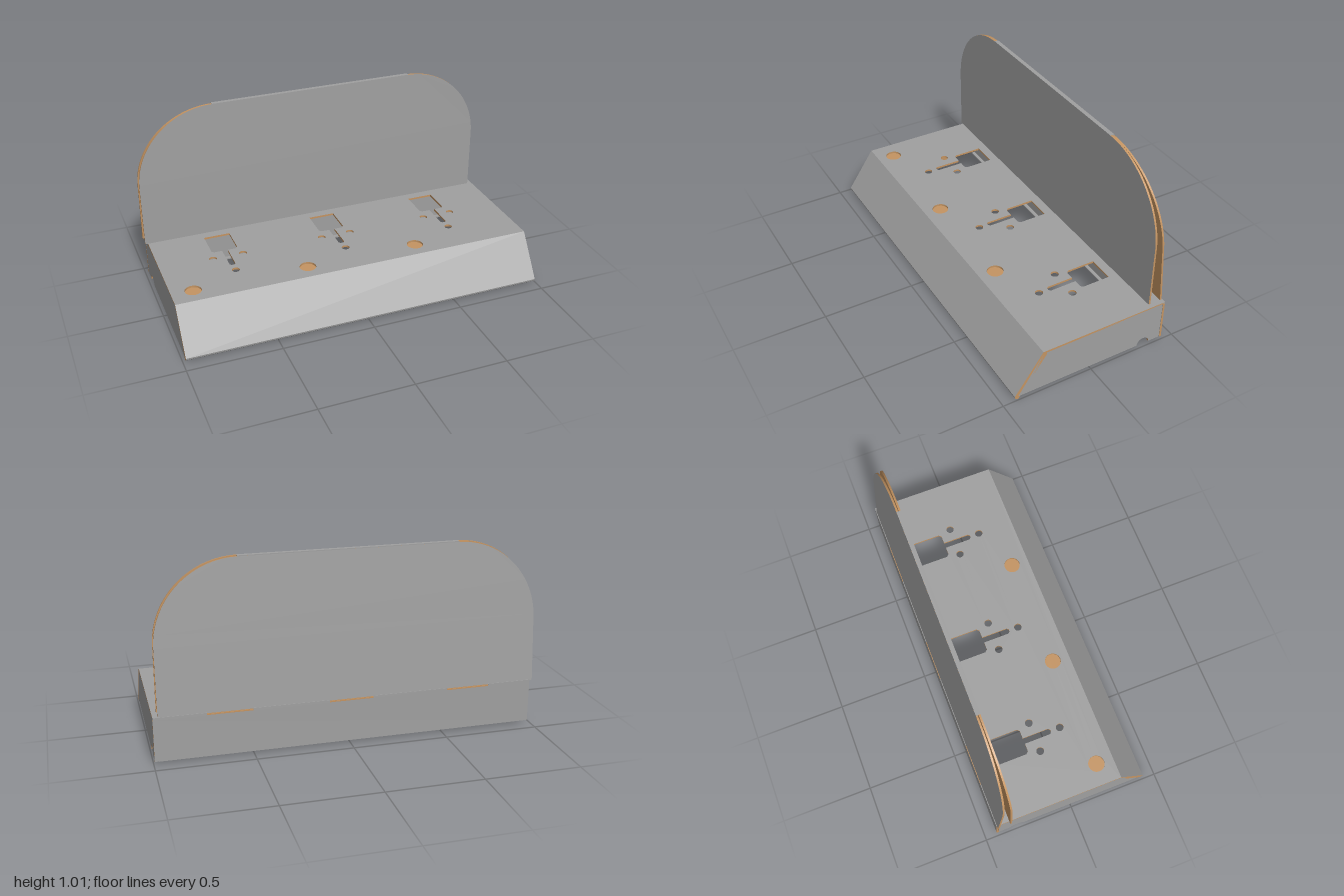
import * as THREE from 'three';

const board = new THREE.MeshStandardMaterial({ color: 0xa0a0a0 });
board.name = 'grey board';
const kraft = new THREE.MeshStandardMaterial({ color: 0xc49462 });
kraft.name = 'brown kraft';

const L = -0.985, R = 0.995;              // box ends
const UNITS = [-0.613, 0.005, 0.625];     // centres of the three cutouts

// Sheet of board with its own material on the back cap, front cap and cut edge
function sheet(name, shape, depth, back, front, edge = kraft) {
  const g = new THREE.ExtrudeGeometry(shape, { depth, bevelEnabled: false, curveSegments: 20 });
  const [caps, sides] = g.groups;
  const half = caps.count / 2;
  g.clearGroups();
  g.addGroup(caps.start, half, 0);
  g.addGroup(caps.start + half, half, 1);
  g.addGroup(sides.start, sides.count, 2);
  const m = new THREE.Mesh(g, [back, front, edge]);
  m.name = name;
  return m;
}

function box(name, x0, x1, y0, y1, z0, z1, mat) {
  const m = new THREE.Mesh(new THREE.BoxGeometry(x1 - x0, y1 - y0, z1 - z0), mat);
  m.position.set((x0 + x1) / 2, (y0 + y1) / 2, (z0 + z1) / 2);
  m.name = name;
  return m;
}

const polygon = (pts, C = THREE.Shape) => new C(pts.map(([x, y]) => new THREE.Vector2(x, y)));
// Plan outlines take x and z; z is negated because the sheet is laid flat
const plan = (pts, C) => polygon(pts.map(([x, z]) => [x, -z]), C);
function hole(x, z, r) {
  const p = new THREE.Path();
  p.absarc(x, -z, r, 0, Math.PI * 2, true);
  return p;
}
function lay(mesh, y) {
  mesh.rotation.x = -Math.PI / 2;
  mesh.position.y = y;
  return mesh;
}
// Profiles take z and y and are extruded along x
const profile = pts => polygon(pts.map(([z, y]) => [-z, y]));
function across(mesh, x) {
  mesh.rotation.y = Math.PI / 2;
  mesh.position.x = x;
  return mesh;
}

// Upright panel outline with two large rounded corners
function panelShape(h) {
  const s = new THREE.Shape(), l = -1, r = 0.97, c = 0.42;
  s.moveTo(l, 0);
  s.lineTo(r, 0);
  s.lineTo(r, h - c);
  s.absarc(r - c, h - c, c, 0, Math.PI / 2, false);
  s.lineTo(l + c, h);
  s.absarc(l + c, h - c, c, Math.PI / 2, Math.PI, false);
  s.closePath();
  return s;
}

function sideShape() {
  const s = new THREE.Shape();
  s.moveTo(-0.415, 0.02);
  s.lineTo(0.28, 0.02);
  s.absarc(0.317, 0.02, 0.036, Math.PI, 0, true);   // notch in the lower edge
  s.lineTo(0.42, 0.02);
  s.lineTo(0.42, 0.24);
  s.lineTo(-0.275, 0.24);
  s.closePath();
  return s;
}

export function createModel() {
  const model = new THREE.Group();
  model.name = 'displayStand';

  // Top deck: stepped cutouts, screw holes and round recesses
  const top = plan([[L, 0.28], [R, 0.28], [R, -0.43], [L, -0.43]]);
  for (const x of UNITS) {
    top.holes.push(plan([
      [x - 0.072, -0.3], [x + 0.072, -0.3], [x + 0.072, -0.145], [x + 0.06, -0.132],
      [x + 0.016, -0.132], [x + 0.016, 0.015], [x + 0.007, 0.024], [x - 0.007, 0.024],
      [x - 0.016, 0.015], [x - 0.016, -0.132], [x - 0.06, -0.132], [x - 0.072, -0.145],
    ], THREE.Path));
    top.holes.push(hole(x - 0.083, -0.07, 0.021), hole(x + 0.083, -0.07, 0.021), hole(x, 0.077, 0.021));
    top.holes.push(hole(x - 0.256, 0.185, 0.044));
  }
  model.add(lay(sheet('topDeck', top, 0.011, kraft, board), 0.236));

  // Lining below the deck, with rounded windows and mirrored round holes
  const lining = plan([[L + 0.012, 0.265], [R - 0.012, 0.265], [R - 0.012, -0.38], [L + 0.012, -0.38]]);
  for (const x of UNITS) {
    const w = new THREE.Path();
    w.moveTo(x - 0.15, 0.32);
    w.lineTo(x + 0.15, 0.32);
    w.lineTo(x + 0.15, -0.06);
    w.quadraticCurveTo(x + 0.14, -0.12, x + 0.08, -0.135);
    w.quadraticCurveTo(x, -0.15, x - 0.08, -0.135);
    w.quadraticCurveTo(x - 0.14, -0.12, x - 0.15, -0.06);
    w.closePath();
    lining.holes.push(w, hole(x + 0.25, 0.19, 0.044));
  }
  model.add(lay(sheet('deckLining', lining, 0.011, board, kraft), 0.225));

  // Sloping front of doubled board, with a small fold at its foot
  const front = profile([[0.28, 0.247], [0.434, 0.024], [0.432, 0.014], [0.418, 0.002],
    [0.407, 0.014], [0.26, 0.226], [0.26, 0.236]]);
  model.add(across(sheet('frontPanel', front, R - L, kraft, kraft, board), L));

  // Side walls: grey outside, brown inside
  model.add(across(sheet('rightWall', sideShape(), 0.011, board, kraft), L));
  model.add(across(sheet('leftWall', sideShape(), 0.011, kraft, board), R - 0.011));

  // Back wall with folded ledges between three slots
  const backEdge = polygon([[L, 0.018], [R, 0.018], [R, 0.236], [L, 0.236]]);
  const back = sheet('backWall', backEdge, 0.012, board, board);
  back.position.z = -0.434;
  model.add(back);
  const ledges = [[L, -0.75], [-0.52, -0.12], [0.11, 0.5], [0.73, R]];
  for (const [a, b] of ledges) model.add(box('backLedge', a, b, 0.236, 0.248, -0.434, -0.424, board));
  for (let i = 0; i < 3; i++) {
    model.add(box('slotEdge', ledges[i][1], ledges[i + 1][0], 0.236, 0.242, -0.434, -0.43, kraft));
  }
  model.add(box('backFootFold', L + 0.02, R - 0.02, 0.015, 0.022, -0.43, -0.402, board));

  // Upright panel: straight front sheet, leaning rear sheet, fold along the top
  const face = sheet('frontSheet', panelShape(0.763), 0.01, kraft, board);
  face.position.set(0, 0.247, -0.361);
  const rear = sheet('rearSheet', panelShape(0.763), 0.01, board, kraft);
  rear.position.set(0, 0.245, -0.431);
  rear.rotation.x = Math.atan2(0.057, 0.763);
  model.add(face, rear);
  model.add(box('topFold', -0.58, 0.55, 1.0, 1.011, -0.374, -0.351, board));

  return model;
}
